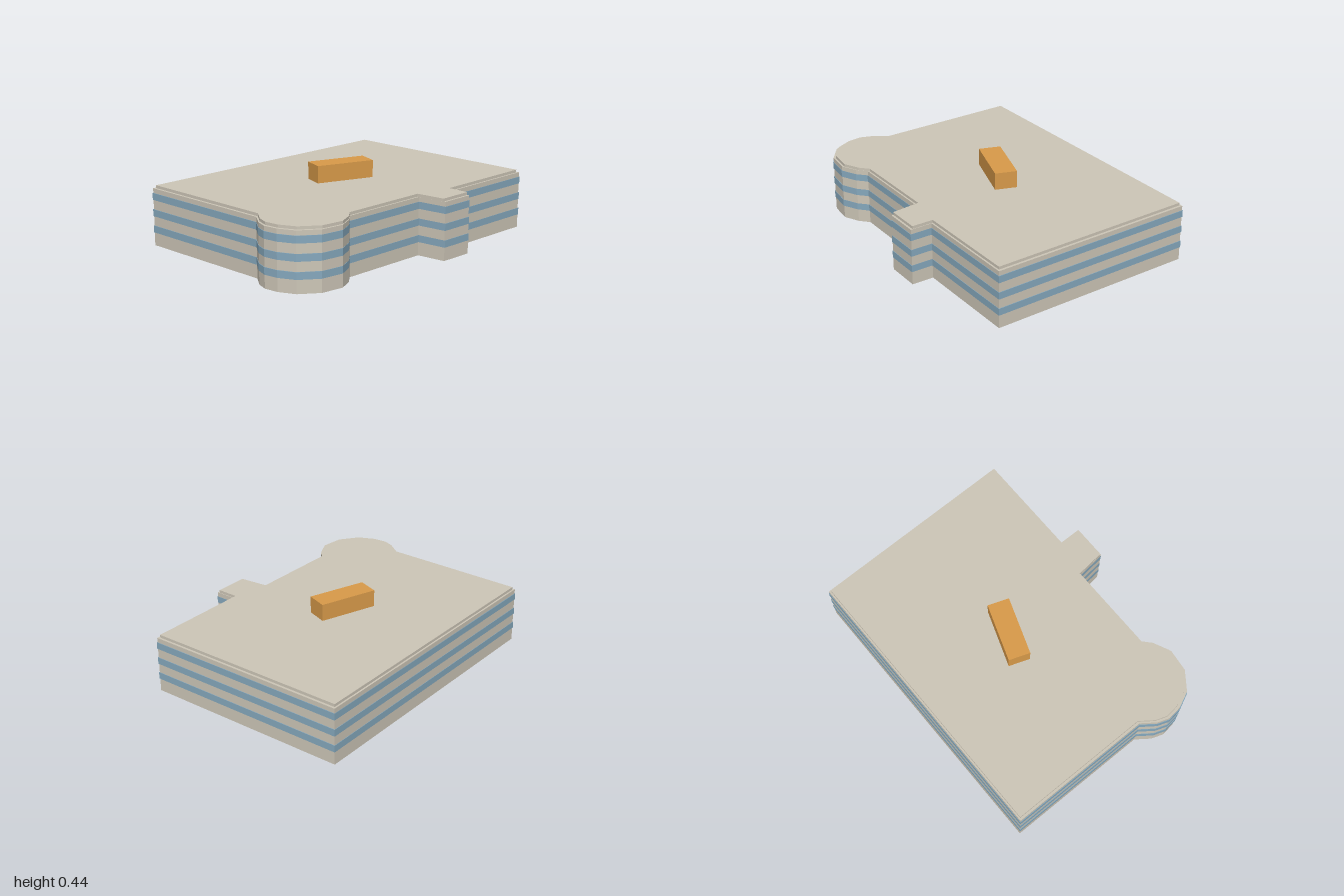
import * as THREE from 'three';

// Building footprint as [x, z]
const footprint = [
  [-0.997, -0.289], [0.586, -0.848], [0.995, 0.279], // rectangular main block
  [0.422, 0.481], [0.463, 0.599], [0.278, 0.663], [0.206, 0.512], // entrance bay
  [-0.291, 0.685], [-0.324, 0.746], [-0.393, 0.815], [-0.519, 0.843], // round corner tower
  [-0.639, 0.806], [-0.709, 0.734], [-0.745, 0.66], [-0.745, 0.59], [-0.717, 0.497],
];

// Extrudes the scaled footprint between two heights
function slab(name, material, bottom, top, scale) {
  const shape = new THREE.Shape(footprint.map(([x, z]) => new THREE.Vector2(x * scale, -z * scale)));
  const geometry = new THREE.ExtrudeGeometry(shape, { depth: top - bottom, bevelEnabled: false });
  geometry.rotateX(-Math.PI / 2);
  const mesh = new THREE.Mesh(geometry, material);
  mesh.name = name;
  mesh.position.y = bottom;
  return mesh;
}

export function createModel() {
  const stone = new THREE.MeshStandardMaterial({ color: 0xcec7b8 });
  stone.name = 'stone';
  const glass = new THREE.MeshStandardMaterial({ color: 0x86a9be });
  glass.name = 'blue glass';
  const ochre = new THREE.MeshStandardMaterial({ color: 0xd99b4a });
  ochre.name = 'ochre';

  const model = new THREE.Group();
  model.name = 'building';

  // Walls and the slightly inset roof
  model.add(slab('walls', stone, 0, 0.323, 1));
  model.add(slab('roof', stone, 0.323, 0.339, 0.984));

  // Window bands, one per storey, standing just proud of the walls
  [0.074, 0.166, 0.258].forEach((y, i) => {
    model.add(slab(`windowBand${i + 1}`, glass, y, y + 0.039, 1.004));
  });

  // Rooftop plant room
  const plantRoom = new THREE.Mesh(new THREE.BoxGeometry(0.338, 0.097, 0.124), ochre);
  plantRoom.name = 'rooftopPlantRoom';
  plantRoom.position.set(-0.007, 0.3875, 0.006);
  model.add(plantRoom);

  return model;
}
